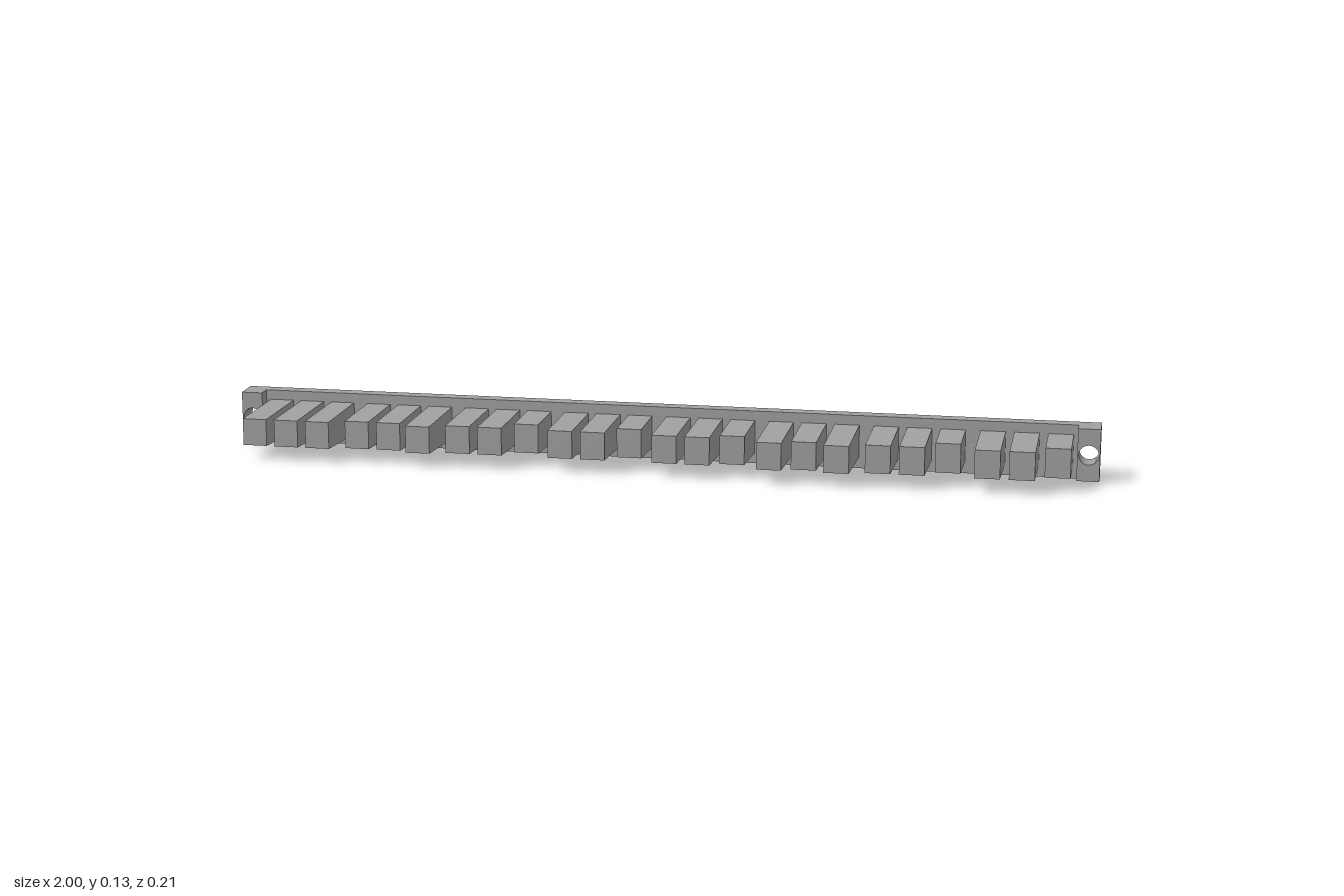
import * as THREE from 'three';

const MID = 0.0635; // height of the centre line
const BACK = -0.107, BAR_FRONT = -0.08, TAB_FRONT = -0.05;

// Flat plate from x0 to x1 with round holes, height narrowing towards the front
function plate(x0, x1, z0, z1, halfBack, halfFront, holes) {
  const shape = new THREE.Shape();
  shape.moveTo(x0, -1).lineTo(x1, -1).lineTo(x1, 1).lineTo(x0, 1).closePath();
  shape.curves.length = 0;
  shape.setFromPoints([
    new THREE.Vector2(x0, -halfBack), new THREE.Vector2(x1, -halfBack),
    new THREE.Vector2(x1, halfBack), new THREE.Vector2(x0, halfBack),
  ]);
  for (const x of holes) {
    shape.holes.push(new THREE.Path().absarc(x, 0, 0.022, 0, Math.PI * 2, true));
  }
  const geo = new THREE.ExtrudeGeometry(shape, { depth: z1 - z0, bevelEnabled: false, curveSegments: 20 });
  const p = geo.attributes.position;
  for (let i = 0; i < p.count; i++) {
    // only the outer edges are drafted, the holes stay straight
    if (p.getZ(i) > 0 && Math.abs(p.getY(i)) > 0.05) p.setY(i, Math.sign(p.getY(i)) * halfFront);
  }
  geo.translate(0, MID, z0);
  geo.computeVertexNormals();
  return geo;
}

// Tooth with a slight vertical draft
function tooth(tip) {
  const geo = new THREE.BoxGeometry(0.056, 1, tip - BAR_FRONT);
  geo.translate(0, 0, (tip + BAR_FRONT) / 2);
  const p = geo.attributes.position;
  for (let i = 0; i < p.count; i++) {
    const half = 0.0365 - (p.getZ(i) - TAB_FRONT) * 0.0355;
    p.setY(i, Math.sign(p.getY(i)) * half);
  }
  geo.translate(0, 0.0645, 0);
  geo.computeVertexNormals();
  return geo;
}

export function createModel() {
  const model = new THREE.Group();
  const grey = new THREE.MeshStandardMaterial({ color: 0xa0a0a0 });
  grey.name = 'grey';
  const add = (name, geo, x = 0) => {
    const mesh = new THREE.Mesh(geo, grey);
    mesh.name = name;
    mesh.position.x = x;
    model.add(mesh);
  };

  // Long back bar and the two screw tabs
  add('backBar', plate(-1, 1, BACK, BAR_FRONT, 0.0628, 0.061, [-0.975, 0.975]));
  add('rightTab', plate(-1, -0.95, BAR_FRONT, TAB_FRONT, 0.061, 0.0595, [-0.975]));
  add('leftTab', plate(0.95, 1, BAR_FRONT, TAB_FRONT, 0.061, 0.0595, [0.975]));

  // Eight groups of three teeth; each letter gives a tooth's length
  const tips = { L: 0.107, M: 0.088, T: 0.065, S: 0.045 };
  ['LLL', 'MML', 'MMS', 'MMS', 'MMT', 'LML', 'MMS', 'MMS'].forEach((code, g) => {
    [...code].forEach((c, k) => {
      add(`tooth${g * 3 + k + 1}`, tooth(tips[c]), -0.836 + g * 0.239 + (k - 1) * 0.075);
    });
  });
  return model;
}
